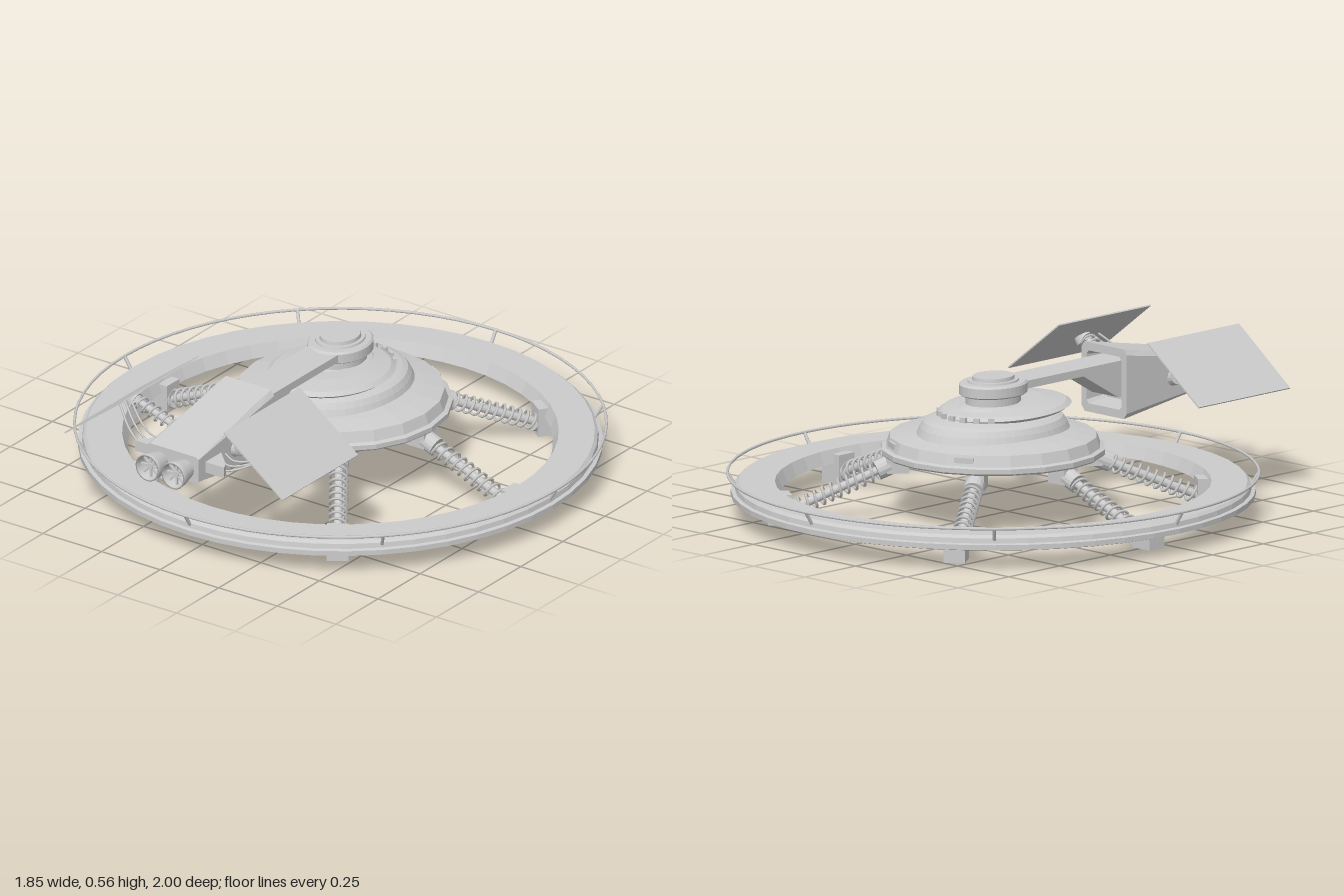
import * as THREE from 'three';

const CZ = -0.07; // z of the wheel and hub axis
const smooth = new THREE.MeshStandardMaterial({ color: 0xcccccc, side: THREE.DoubleSide });
const flat = new THREE.MeshStandardMaterial({ color: 0xcccccc, side: THREE.DoubleSide, flatShading: true });

function add(parent, name, geo, x = 0, y = 0, z = 0, mat = flat) {
  const m = new THREE.Mesh(geo, mat);
  m.name = name;
  m.position.set(x, y, z);
  parent.add(m);
  return m;
}
const box = (w, h, d) => new THREE.BoxGeometry(w, h, d);
const cyl = (rt, rb, h, n = 16) => new THREE.CylinderGeometry(rt, rb, h, n);
const lathe = (pts, n) => new THREE.LatheGeometry(pts.map(p => new THREE.Vector2(...p)), n);
const V = (x, y, z) => new THREE.Vector3(x, y, z);

function rod(parent, name, a, b, r) {
  const m = add(parent, name, cyl(r, r, a.distanceTo(b), 8), 0, 0, 0, smooth);
  m.position.copy(a).lerp(b, 0.5);
  m.quaternion.setFromUnitVectors(V(0, 1, 0), b.clone().sub(a).normalize());
}

// Shock absorber from a to b: rod, end collars and a coil spring
class Helix extends THREE.Curve {
  constructor(r, y0, y1, turns) {
    super();
    Object.assign(this, { r, y0, y1, turns });
  }
  getPoint(t, target = new THREE.Vector3()) {
    const a = t * this.turns * Math.PI * 2;
    return target.set(this.r * Math.cos(a), this.y0 + (this.y1 - this.y0) * t, this.r * Math.sin(a));
  }
}
function shock(parent, name, a, b, r, turns) {
  const g = new THREE.Group(), L = a.distanceTo(b);
  g.name = name;
  g.position.copy(a);
  g.quaternion.setFromUnitVectors(V(0, 1, 0), b.clone().sub(a).normalize());
  add(g, 'shockRod', cyl(r * 0.45, r * 0.45, L, 12), 0, L / 2, 0, smooth);
  add(g, 'innerCollar', cyl(r * 1.05, r * 1.05, L * 0.12), 0, L * 0.06, 0);
  add(g, 'outerCollar', cyl(r, r, L * 0.06), 0, L * 0.97, 0);
  const coil = new Helix(r * 0.9, L * 0.12, L * 0.96, turns);
  add(g, 'spring', new THREE.TubeGeometry(coil, turns * 14, r * 0.16, 5), 0, 0, 0, smooth);
  parent.add(g);
}

function buildWheel(root) {
  const g = new THREE.Group();
  g.name = 'wheel';
  g.position.z = CZ;
  root.add(g);
  // Deck with a hollow underside and a stepped outer lip
  add(g, 'ringDeck', lathe([[0.737, 0.075], [0.757, 0.12], [0.882, 0.12], [0.893, 0.11], [0.896, 0.093],
    [0.91, 0.09], [0.91, 0.072], [0.897, 0.068], [0.887, 0.105], [0.765, 0.105], [0.737, 0.075]], 48));
  // Guard rail on leaning posts
  add(g, 'guardRail', new THREE.TorusGeometry(0.922, 0.005, 6, 72).rotateX(Math.PI / 2), 0, 0.15, 0, smooth);
  for (let i = 0; i < 8; i++) {
    const a = i * Math.PI / 4, c = Math.cos(a), s = Math.sin(a);
    rod(g, 'railPost', V(0.893 * c, 0.105, 0.893 * s), V(0.922 * c, 0.15, 0.922 * s), 0.006);
  }
  // Six sprung spokes with brackets at both ends
  for (const deg of [0, 55, 125, 180, 235, 305]) {
    const spoke = new THREE.Group();
    spoke.name = 'spoke';
    spoke.rotation.y = deg * Math.PI / 180;
    g.add(spoke);
    add(spoke, 'ringBracket', box(0.085, 0.105, 0.075), 0.757, 0.0525, 0);
    add(spoke, 'hubBracket', box(0.08, 0.06, 0.065), 0.34, 0.195, 0);
    shock(spoke, 'spokeShock', V(0.365, 0.19, 0), V(0.735, 0.035, 0), 0.033, 11);
  }
}

function buildHub(root) {
  const g = new THREE.Group();
  g.name = 'hub';
  g.position.z = CZ;
  root.add(g);
  add(g, 'hubRim', lathe([[0.335, 0.22], [0.385, 0.22], [0.391, 0.226], [0.391, 0.243], [0.375, 0.248],
    [0.362, 0.286], [0.29, 0.3], [0.18, 0.315]], 20));
  // Shallow hollow under the hub with a column hanging from its middle
  add(g, 'hubUnderside', lathe([[0.335, 0.22], [0.325, 0.232], [0.2, 0.28], [0.19, 0.295], [0.09, 0.33], [0, 0.335]], 40));
  add(g, 'centreColumn', cyl(0.03, 0.03, 0.16), 0, 0.26, 0, smooth);
  // Oval dome, longer front to back
  const dome = add(g, 'dome', lathe([[0.295, 0.295], [0.28, 0.325], [0.265, 0.345], [0.245, 0.353], [0.17, 0.37],
    [0.125, 0.395], [0.105, 0.4], [0.105, 0.43]], 48));
  dome.scale.x = 0.82;
  const dish = add(g, 'tiltedDish', lathe([[0.13, -0.012], [0.235, -0.012], [0.255, 0], [0.235, 0.012], [0.15, 0.024],
    [0.08, 0.026]], 48), 0, 0.376, 0.055);
  dish.scale.x = 0.82;
  dish.rotation.x = -0.035;
  // Oval cap over the arm pivot
  const turret = add(g, 'turret', lathe([[0, 0.43], [0.12, 0.43], [0.128, 0.435], [0.128, 0.468], [0.12, 0.475],
    [0.097, 0.475], [0.095, 0.482], [0.08, 0.482], [0.078, 0.495], [0, 0.495]], 40));
  turret.scale.x = 0.85;
  // Small windows at the rear of the dish and slots in the rim
  for (let i = -3; i <= 3; i++) {
    const a = i * 0.27;
    const w = add(g, 'domeWindow', box(0.022, 0.018, 0.012), 0.178 * Math.sin(a), 0.372, -0.203 * Math.cos(a));
    w.rotation.y = -a;
  }
  for (const a of [-0.5, 0.5]) {
    const s = add(g, 'rimSlot', box(0.07, 0.02, 0.03), 0.355 * Math.sin(a), 0.268, -0.355 * Math.cos(a));
    s.rotation.y = -a;
  }
}

// Pod section with chamfered corners; height tapers towards the front
function podSection(z0, z1, hollow) {
  const octagon = (P, w, b, t, c, d) => {
    const p = new P();
    [[-w + c, b], [w - c, b], [w, b + d], [w, t - d], [w - c, t], [-w + c, t], [-w, t - d], [-w, b + d]]
      .forEach((q, i) => (i ? p.lineTo(...q) : p.moveTo(...q)));
    p.closePath();
    return p;
  };
  const s = octagon(THREE.Shape, 0.11, 0, 1, 0.014, 0.08);
  if (hollow) s.holes.push(octagon(THREE.Path, 0.085, 0.12, 0.88, 0.01, 0.05));
  const geo = new THREE.ExtrudeGeometry(s, { depth: z1 - z0, bevelEnabled: false }).translate(0, 0, z0);
  const p = geo.attributes.position;
  for (let i = 0; i < p.count; i++) {
    const t = (p.getZ(i) - 0.476) / 0.449;
    const bottom = 0.268 + 0.062 * t, top = 0.515 - 0.085 * t;
    p.setY(i, bottom + (top - bottom) * p.getY(i));
  }
  geo.computeVertexNormals();
  return geo;
}

function sideShape(pts, width) {
  const s = new THREE.Shape(pts.map(p => new THREE.Vector2(...p)));
  return new THREE.ExtrudeGeometry(s, { depth: width, bevelEnabled: false })
    .translate(0, 0, -width / 2).rotateY(-Math.PI / 2);
}

function buildPod(root) {
  const g = new THREE.Group();
  g.name = 'pod';
  root.add(g);
  add(g, 'arm', sideShape([[-0.07, 0.44], [0.31, 0.44], [0.48, 0.34], [0.58, 0.34], [0.58, 0.468], [-0.07, 0.468]], 0.128));
  add(g, 'podRearFrame', podSection(0.476, 0.57, true));
  add(g, 'podBody', podSection(0.57, 0.925, false));

  for (const s of [1, -1]) {
    // Nozzle with a bladed wheel inside
    const n = new THREE.Group();
    n.name = 'nozzle';
    n.position.set(s * 0.055, 0.375, 0.92);
    n.rotation.x = Math.PI / 2;
    g.add(n);
    add(n, 'nozzleBell', lathe([[0.034, 0], [0.048, 0.06], [0.05, 0.08], [0.044, 0.08], [0.036, 0.02]], 20), 0, 0, 0, smooth);
    add(n, 'bladeHub', cyl(0.012, 0.012, 0.03, 10), 0, 0.05, 0);
    for (let i = 0; i < 4; i++) {
      add(n, 'blade', box(0.084, 0.008, 0.007), 0, 0.057, 0).rotation.y = i * Math.PI / 4;
    }
    // Side fin, a wedge widening to the front
    const fin = new THREE.Shape([[0.1, -0.78], [0.1, -0.885], [0.19, -0.885], [0.18, -0.86]]
      .map(([x, y]) => new THREE.Vector2(s * x, y)));
    add(g, 'sideFin', new THREE.ExtrudeGeometry(fin, { depth: 0.04, bevelEnabled: false }).rotateX(-Math.PI / 2), 0, 0.36, 0);

    // Tilted panel on a sprung strut
    const panel = add(g, 'panel', box(0.314, 0.005, 0.449), s * 0.34, 0.46, 0.697);
    panel.rotation.z = -s * 0.65;
    shock(g, 'panelStrut', V(s * 0.1, 0.38, 0.705), V(s * 0.325, 0.455, 0.705), 0.027, 7);
    const mount = add(g, 'panelMount', cyl(0.03, 0.03, 0.03), s * 0.328, 0.452, 0.705);
    mount.rotation.z = -s * 0.65;
    // Loose cables between pod and panel
    for (let i = 0; i < 3; i++) {
      const z = 0.76 + i * 0.035;
      const path = new THREE.CatmullRomCurve3([V(s * 0.1, 0.385, z), V(s * 0.17, 0.382 - i * 0.004, z + 0.03),
        V(s * 0.25, 0.4, z), V(s * 0.33, 0.46, 0.72 + i * 0.03)]);
      add(g, 'cable', new THREE.TubeGeometry(path, 20, 0.004, 6), 0, 0, 0, smooth);
    }
  }
}

export function createModel() {
  const root = new THREE.Group();
  root.name = 'wheelCraft';
  buildWheel(root);
  buildHub(root);
  buildPod(root);
  return root;
}
